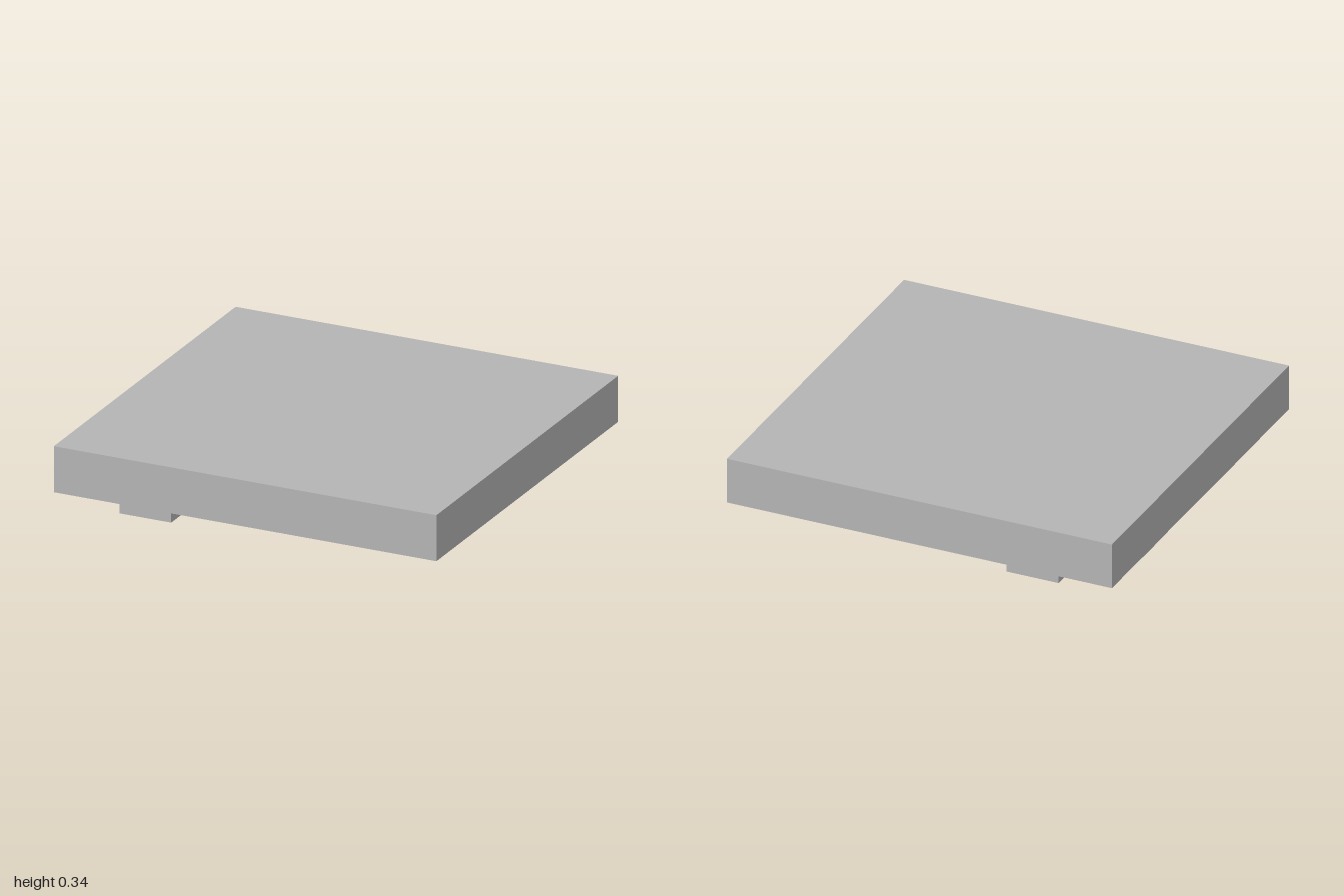
import * as THREE from 'three';
import { ConvexGeometry } from 'three/addons/geometries/ConvexGeometry.js';

const BASE = 0.11; // underside of the slab
const LOW = 0.032; // underside of the relief

export function createModel() {
  const group = new THREE.Group();
  const grey = new THREE.MeshStandardMaterial({ color: 0xb4b4b4 });
  grey.name = 'plain grey';

  function add(name, geometry) {
    const mesh = new THREE.Mesh(geometry, grey);
    mesh.name = name;
    group.add(mesh);
    return mesh;
  }

  // Box given by its limits on each axis
  function block(name, x0, x1, z0, z1, y0 = LOW, y1 = BASE) {
    const mesh = add(name, new THREE.BoxGeometry(x1 - x0, y1 - y0, z1 - z0));
    mesh.position.set((x0 + x1) / 2, (y0 + y1) / 2, (z0 + z1) / 2);
  }

  // The same box on both sides of the centre line
  function pair(name, x0, x1, z0, z1) {
    block(name + 'Left', x0, x1, z0, z1);
    block(name + 'Right', x0, x1, -z1, -z0);
  }

  block('slab', -1, 1, -0.98, 0.98, BASE, 0.343);

  // Square pads on short necks
  block('endPad', 0.63, 0.905, -0.135, 0.135);
  block('endNeck', 0.51, 0.63, -0.07, 0.07);
  pair('sidePad', -0.69, -0.42, 0.64, 0.91);
  pair('sideNeck', -0.62, -0.49, 0.51, 0.64);

  // Frame around the open middle
  block('endBar', 0.34, 0.51, -0.31, 0.31);
  block('crossBar', 0.1, 0.2, -0.31, 0.31);
  block('rearBar', -0.86, -0.78, -0.23, 0.23);
  pair('frontArm', 0.1, 0.43, 0.31, 0.51);
  pair('middleArm', -0.05, 0.1, 0.36, 0.51);
  pair('innerArm', -0.42, -0.05, 0.31, 0.51);
  pair('rearArm', -0.94, -0.42, 0.23, 0.51);

  // Sloping wedges under the arms
  for (const s of [1, -1]) {
    add(s > 0 ? 'wedgeLeft' : 'wedgeRight', new ConvexGeometry([
      new THREE.Vector3(-0.05, 0, s * 0.31),
      new THREE.Vector3(-0.05, LOW, s * 0.31),
      new THREE.Vector3(-0.42, LOW, s * 0.31),
      new THREE.Vector3(-0.05, LOW, s * 0.51),
    ]));
  }

  // Two rows of small pins in the middle
  for (const x of [0, -0.3]) {
    for (const z of [-0.165, -0.055, 0.055, 0.165]) {
      block('pin', x - 0.009, x + 0.009, z - 0.009, z + 0.009, 0.028);
    }
  }

  return group;
}
